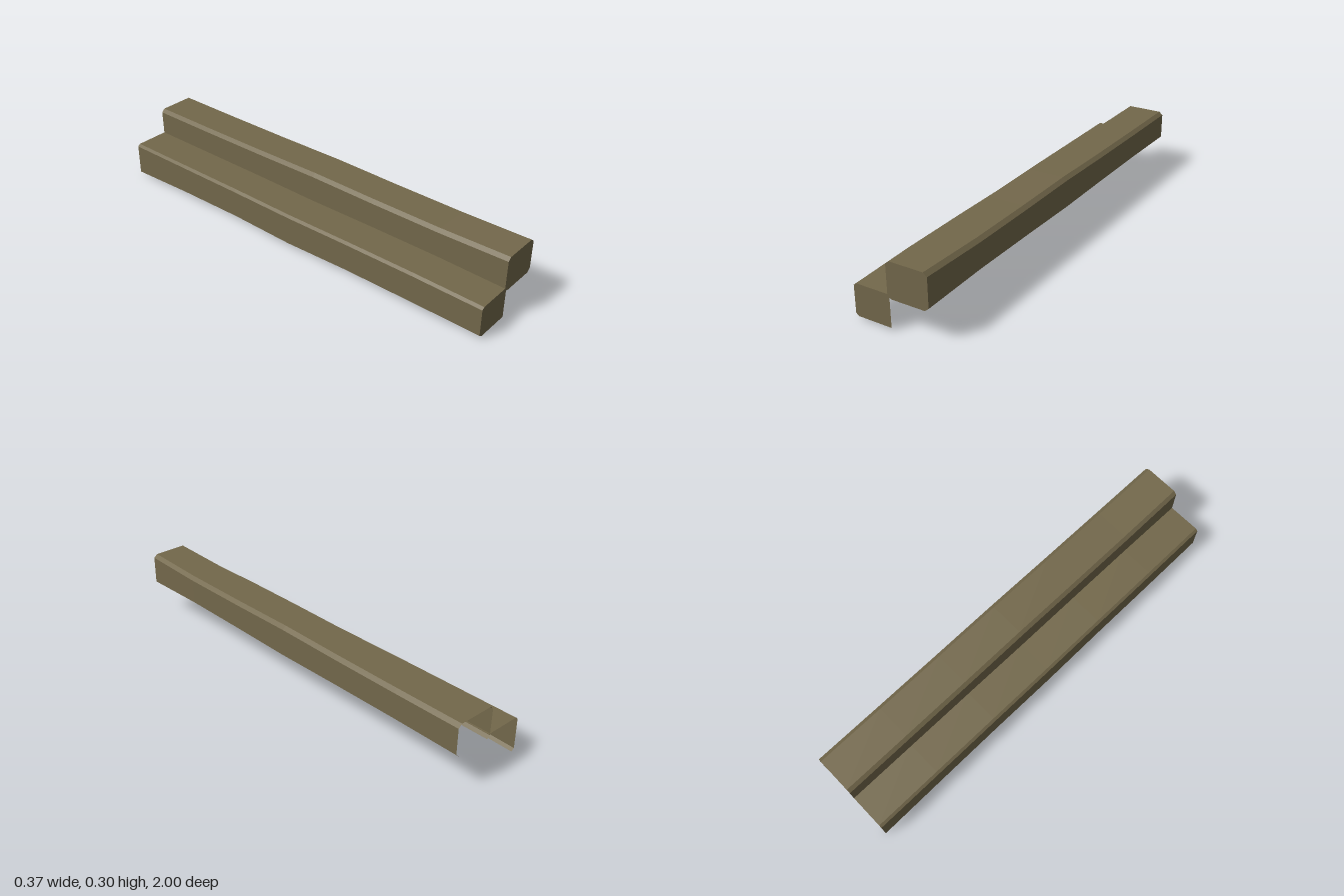
import * as THREE from 'three';

// Stations along the beams, front to back, with slight weathered drift at each
const stations = [1, 0.67, 0.33, 0, -0.33, -0.67, -1];
const upperTop = [0, -0.007, -0.006, -0.002, -0.006, -0.007, -0.006];
const upperBase = [0, 0.009, 0.007, 0.003, 0.007, 0.009, 0.007];
const lowerTop = [0, 0.006, 0.006, 0.003, 0.007, 0.008, 0.009];
const lowerBase = [0, 0.003, 0.003, -0.006, 0.003, 0, -0.01];
const outward = [0, 0.003, 0.004, 0.005, 0.006, 0.007, 0.008];

// Open sheet through the cross-sections returned by section(i)
function loft(section) {
  const pos = [];
  for (let i = 0; i < stations.length - 1; i++) {
    const a = section(i).map(([x, y]) => [x, y, stations[i]]);
    const b = section(i + 1).map(([x, y]) => [x, y, stations[i + 1]]);
    for (let j = 0; j < a.length - 1; j++) {
      pos.push(...a[j], ...b[j], ...b[j + 1], ...a[j], ...b[j + 1], ...a[j + 1]);
    }
  }
  const g = new THREE.BufferGeometry();
  g.setAttribute('position', new THREE.Float32BufferAttribute(pos, 3));
  g.computeVertexNormals();
  return g;
}

// Flat plate closing the front end
function endPlate(points) {
  const shape = new THREE.Shape(points.map(([x, y]) => new THREE.Vector2(x, y)));
  return new THREE.ShapeGeometry(shape).translate(0, 0, stations[0]);
}

// Upper beam: chamfered, open underneath; listed counter-clockwise from base right
function upperSection(i) {
  const o = outward[i], t = upperTop[i], b = upperBase[i];
  return [
    [0.16 + o, 0.138 + b], [0.178 + o, 0.153 + b],
    [0.178 + o, 0.285 + t], [0.16 + o, 0.3 + t],
    [0.002, 0.3 + t], [-0.014, 0.285 + t],
    [-0.014 + o / 4, 0.15 + b], [0.003, 0.138 + b],
  ];
}

// Lower beam: top, outer wall and chamfers only
function lowerSection(i) {
  const o = outward[i] * 0.9, t = lowerTop[i], b = lowerBase[i];
  return [
    [-0.005, 0.156 + t], [-0.167 - o, 0.156 + t], [-0.179 - o, 0.146 + t],
    [-0.179 - o, 0.021 + b], [-0.165 - o, 0.01 + b],
  ];
}

export function createModel() {
  const group = new THREE.Group();
  group.name = 'steppedBeams';
  const wood = new THREE.MeshStandardMaterial({ color: 0x73684b });
  wood.name = 'drabBrown';
  wood.side = THREE.DoubleSide;
  wood.flatShading = true;

  const add = (name, geometry) => {
    const mesh = new THREE.Mesh(geometry, wood);
    mesh.name = name;
    group.add(mesh);
  };

  add('upperBeam', loft(upperSection));
  add('upperBeamFrontEnd', endPlate(upperSection(0)));
  add('lowerBeam', loft(lowerSection));
  add('lowerBeamFrontEnd', endPlate([...lowerSection(0), [-0.005, 0.01]]));
  return group;
}
